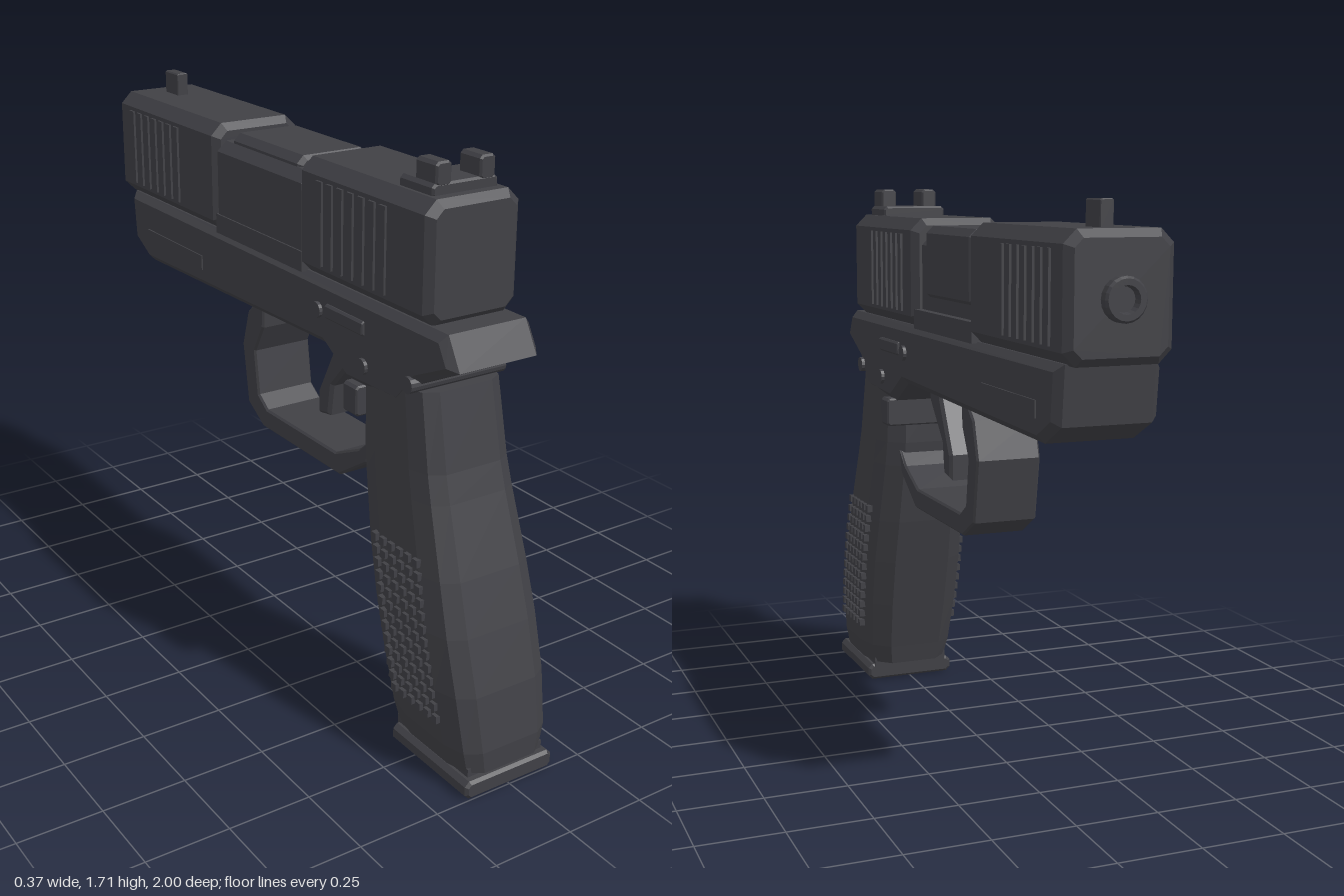
import * as THREE from 'three';

export function createModel() {
  const model = new THREE.Group();
  const gunmetal = new THREE.MeshStandardMaterial({ color: 0x404045 });
  gunmetal.name = 'gunmetal';
  gunmetal.flatShading = true;

  function add(name, geometry) {
    const mesh = new THREE.Mesh(geometry, gunmetal);
    mesh.name = name;
    model.add(mesh);
    return mesh;
  }

  // Extrusion centred on its depth; the bevel stays inside the outline
  function extrude(points, depth, bevel) {
    const shape = new THREE.Shape(points.map(p => new THREE.Vector2(p[0], p[1])));
    const g = new THREE.ExtrudeGeometry(shape, {
      depth: depth - 2 * bevel, bevelEnabled: bevel > 0, bevelThickness: bevel,
      bevelSize: bevel, bevelOffset: -bevel, bevelSegments: 1,
    });
    return g.translate(0, 0, -depth / 2 + bevel);
  }

  // Side outline given as [z, y], extruded across x
  function sidePart(name, points, width, bevel) {
    return add(name, extrude(points, width, bevel).rotateY(-Math.PI / 2));
  }

  // Box from its limits, with chamfered edges when bevel is given
  function box(name, [x0, x1], [y0, y1], [z0, z1], bevel = 0) {
    const w = x1 - x0, h = y1 - y0, d = z1 - z0;
    let g;
    if (bevel) {
      const a = w / 2, b = h / 2, c = bevel;
      g = extrude([[-a + c, -b], [a - c, -b], [a, -b + c], [a, b - c],
        [a - c, b], [-a + c, b], [-a, b - c], [-a, -b + c]], d, Math.min(c * 0.6, d / 4));
    } else g = new THREE.BoxGeometry(w, h, d);
    const mesh = add(name, g);
    mesh.position.set((x0 + x1) / 2, (y0 + y1) / 2, (z0 + z1) / 2);
    return mesh;
  }

  // Slide: chamfered rear and front blocks joined by a lower waist
  box('slideRear', [-0.15, 0.15], [1.285, 1.62], [0.15, 0.76], 0.036);
  box('slideFront', [-0.15, 0.15], [1.285, 1.62], [-0.97, -0.32], 0.036);
  box('slideWaist', [-0.14, 0.12], [1.29, 1.57], [-0.34, 0.17], 0.03);
  box('slideLedge', [-0.145, 0.145], [1.285, 1.345], [-0.33, 0.16]);
  box('chamber', [-0.11, 0.13], [1.375, 1.6], [-0.285, 0.095], 0.022);

  // Raised slide serrations on both sides
  for (const s of [-1, 1]) {
    for (const start of [0.25, -0.88]) {
      for (let i = 0; i < 7; i++) {
        const rib = box('serration', [-0.005, 0.005], [1.335, 1.575], [-0.014, 0.014]);
        rib.position.set(s * 0.152, 1.452, start + 0.014 + i * 0.05);
      }
    }
  }

  // Muzzle ring with a recessed bore
  const muzzle = new THREE.LatheGeometry([[0, 0.012], [0.032, 0.012], [0.036, 0.035],
    [0.052, 0.035], [0.058, 0.028], [0.058, 0]].map(p => new THREE.Vector2(p[0], -p[1])), 20);
  add('muzzle', muzzle.rotateX(Math.PI / 2)).position.set(0, 1.45, -0.965);
  muzzle.scale(1, 1, 1);
  gunmetal.side = THREE.DoubleSide;

  // Sights
  box('rearSightBase', [-0.105, 0.105], [1.61, 1.65], [0.565, 0.71], 0.01);
  for (const s of [-1, 1]) {
    box('rearSightPost', [s * 0.07 - 0.025, s * 0.07 + 0.025], [1.64, 1.705], [0.62, 0.71], 0.009);
  }
  box('frontSight', [-0.019, 0.019], [1.61, 1.69], [-0.88, -0.795], 0.004);

  // Frame with rear tang and dust cover
  sidePart('frame', [[0.82, 1.29], [0.87, 1.2], [0.72, 1.13], [0.64, 1.04], [0.39, 1.03],
    [0.27, 1.1], [-0.8, 1.075], [-0.9, 1.13], [-0.915, 1.29]], 0.295, 0.022);

  // Controls, pins and side rails
  box('slideStop', [-0.157, 0.157], [1.187, 1.23], [0.295, 0.48], 0.006);
  box('sideRail', [-0.152, 0.152], [1.14, 1.187], [-0.79, -0.42]);
  box('magazineRelease', [-0.158, 0.158], [0.945, 1.035], [0.393, 0.46], 0.008);
  for (const [z, y] of [[0.25, 1.2], [0.475, 1.1], [0.69, 1.117]]) {
    const pin = new THREE.CylinderGeometry(0.024, 0.024, 0.316, 14);
    add('pin', pin.rotateZ(Math.PI / 2)).position.set(0, y, z);
  }

  // Trigger and guard
  sidePart('trigger', [[0.29, 1.12], [0.285, 1.04], [0.175, 0.92], [0.16, 0.82], [0.1, 0.81],
    [0.1, 0.89], [0.19, 1.06], [0.2, 1.12]], 0.1, 0.01);
  sidePart('triggerGuard', [[0.45, 0.86], [0.43, 0.78], [0.29, 0.69], [-0.14, 0.69],
    [-0.23, 0.745], [-0.26, 0.935], [-0.225, 1.05], [-0.17, 1.1], [-0.13, 1.1],
    [-0.135, 1.02], [-0.185, 0.93], [-0.165, 0.79], [-0.115, 0.755], [0.27, 0.755],
    [0.39, 0.81]], 0.2, 0.006);

  // Grip lofted through [y, back z, front z, half width]
  const levels = [[0.065, 0.995, 0.61, 0.145], [0.13, 0.995, 0.595, 0.16], [0.29, 0.965, 0.555, 0.171],
    [0.45, 0.92, 0.515, 0.174], [0.6, 0.875, 0.478, 0.168], [0.8, 0.81, 0.44, 0.156],
    [0.88, 0.787, 0.43, 0.152], [1.1, 0.742, 0.425, 0.145]];
  const half = [[0.6, 0], [0.88, 0.07], [1, 0.24], [1, 0.68], [0.88, 0.88], [0.55, 1]];
  const ring = [...half, ...half.map(([u, v]) => [-u, v]).reverse()];
  const n = ring.length, pos = [], idx = [];
  for (const [y, back, front, w] of levels) {
    for (const [u, v] of ring) pos.push(u * w, y, back + (front - back) * v);
  }
  for (let r = 0; r < levels.length - 1; r++) {
    for (let i = 0; i < n; i++) {
      const a = r * n + i, b = r * n + (i + 1) % n;
      idx.push(a, b, b + n, a, b + n, a + n);
    }
  }
  const top = (levels.length - 1) * n;
  for (let i = 1; i < n - 1; i++) idx.push(0, i + 1, i, top, top + i, top + i + 1);
  const grip = new THREE.BufferGeometry();
  grip.setAttribute('position', new THREE.Float32BufferAttribute(pos, 3));
  grip.setIndex(idx);
  const flatGrip = grip.toNonIndexed();
  flatGrip.computeVertexNormals();
  add('grip', flatGrip);

  // Raised grip texture on both sides
  const stud = new THREE.BoxGeometry(0.02, 0.022, 0.022);
  for (const s of [-1, 1]) {
    for (let r = 0; r < 13; r++) {
      const t = r / 12, y = 0.205 + 0.43 * t;
      for (let c = 0; c < 6; c++) {
        const x = 0.167 + 0.006 * Math.sin(Math.PI * t);
        add('gripStud', stud).position.set(s * x, y, 0.877 - 0.108 * t - c * 0.038);
      }
    }
  }

  // Magazine floor plate
  box('magazineNeck', [-0.13, 0.13], [0.045, 0.08], [0.65, 0.975]);
  box('magazineBase', [-0.152, 0.152], [0, 0.055], [0.65, 1], 0.014);

  return model;
}
